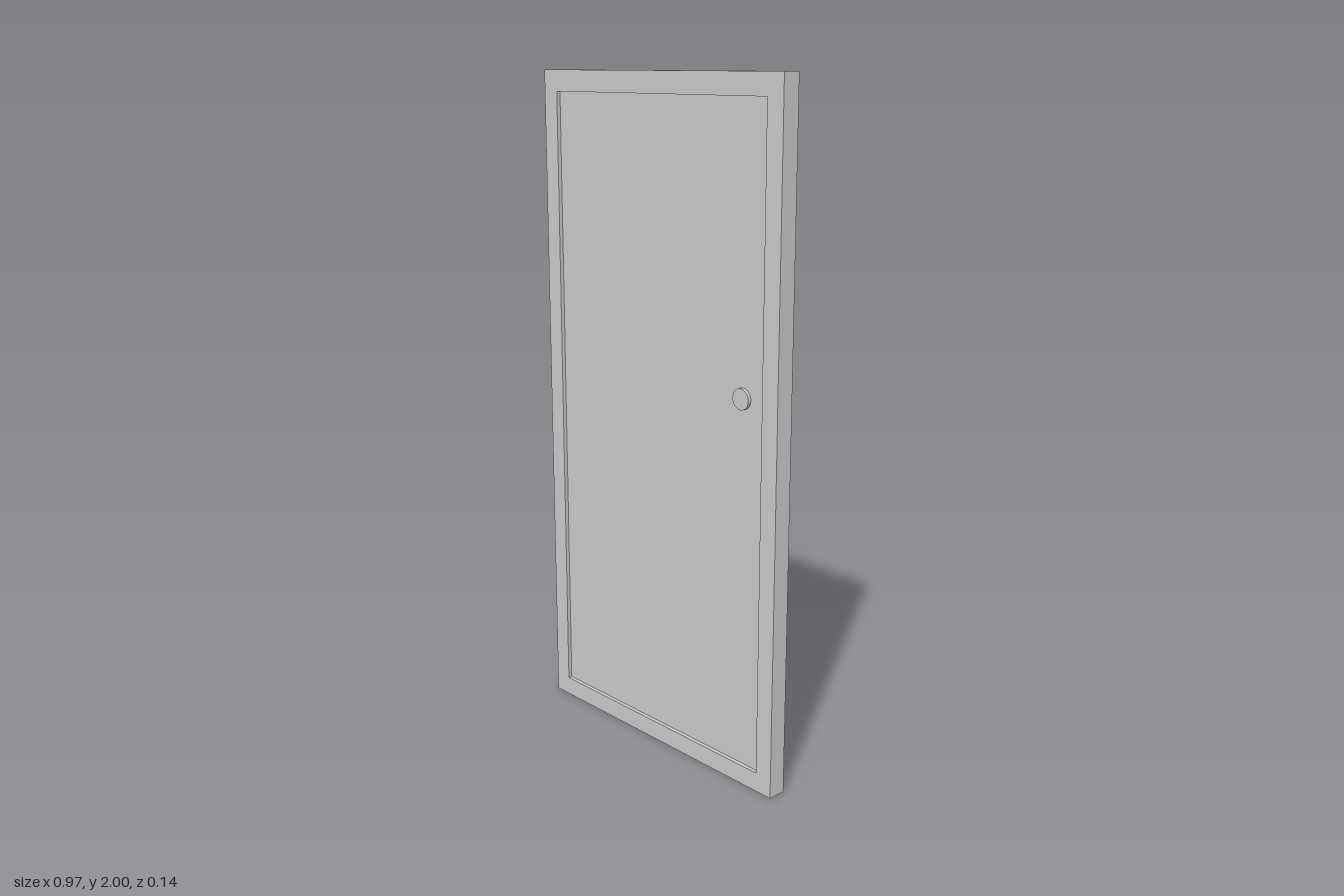
import * as THREE from 'three';

const material = new THREE.MeshStandardMaterial({ color: 0xcccccc });

// Rectangle outline from corner to corner
function rect(x0, y0, x1, y1, PathType = THREE.Path) {
  return new PathType([[x0, y0], [x1, y0], [x1, y1], [x0, y1]].map(([x, y]) => new THREE.Vector2(x, y)));
}

// Flat board between two depths, with rectangular openings
function board(outline, openings, zBack, zFront) {
  const shape = rect(...outline, THREE.Shape);
  openings.forEach((o) => shape.holes.push(rect(...o)));
  return new THREE.ExtrudeGeometry(shape, { depth: zFront - zBack, bevelEnabled: false }).translate(0, 0, zBack);
}

export function createModel() {
  const door = new THREE.Group();
  door.name = 'door';
  const add = (name, geometry, parent = door) => {
    const mesh = new THREE.Mesh(geometry, material);
    mesh.name = name;
    parent.add(mesh);
    return mesh;
  };

  // Outer frame and the leaf set back inside it
  const opening = [-0.428, 0.057, 0.428, 1.938];
  const panels = [[-0.33, 1.275, 0.315, 1.842], [-0.33, 0.207, 0.315, 0.98]];
  add('frame', board([-0.485, 0, 0.485, 2], [opening], 0.015, 0.07));
  add('leafRails', board(opening, panels, 0.032, 0.045));
  add('leafPanel', board(opening, [], 0.045, 0.058));

  // Round plate on the front
  const x = 0.345, y = 1.14;
  add('frontPlate', new THREE.CylinderGeometry(0.03, 0.03, 0.011, 32).rotateX(Math.PI / 2)).position.set(x, y, 0.0625);

  // Lever handle on the back: lathed rose and neck, pointing to -z
  const handle = new THREE.Group();
  handle.name = 'leverHandle';
  handle.position.set(x, y, 0);
  door.add(handle);
  const turned = (points) => new THREE.LatheGeometry(points.map(([r, h]) => new THREE.Vector2(r, h)), 32);
  add('rose', turned([
    [0.03, -0.033], [0.03, -0.008], [0.03, -0.008], [0.028, -0.005], [0.028, -0.005], [0, -0.005],
  ]).rotateX(-Math.PI / 2), handle);
  add('collar', turned([
    [0.013, 0], [0.0125, 0.008], [0.011, 0.015], [0.0085, 0.018], [0, 0.018],
  ]).rotateX(-Math.PI / 2).translate(0, 0, 0.005), handle);

  // Neck leaning up slightly to meet the lever
  const bottom = new THREE.Vector3(0.002, 0, -0.006);
  const top = new THREE.Vector3(0.004, 0.007, -0.056);
  const along = top.clone().sub(bottom);
  const neck = add('neck', new THREE.CylinderGeometry(0.006, 0.012, along.length(), 20), handle);
  neck.position.copy(bottom).add(top).multiplyScalar(0.5);
  neck.quaternion.setFromUnitVectors(new THREE.Vector3(0, 1, 0), along.normalize());

  // Tapered grip running inwards, rounded at the free end
  const grip = add('grip', turned([
    [0, 0], [0.007, 0], [0.0085, 0.004], [0.011, 0.04], [0.0115, 0.075],
    [0.0105, 0.092], [0.008, 0.102], [0.004, 0.107], [0, 0.108],
  ]).scale(0.9, 1, 1).rotateZ(Math.PI / 2), handle);
  grip.position.set(0.007, 0.008, -0.053);
  grip.rotation.y = -0.1;

  return door;
}
